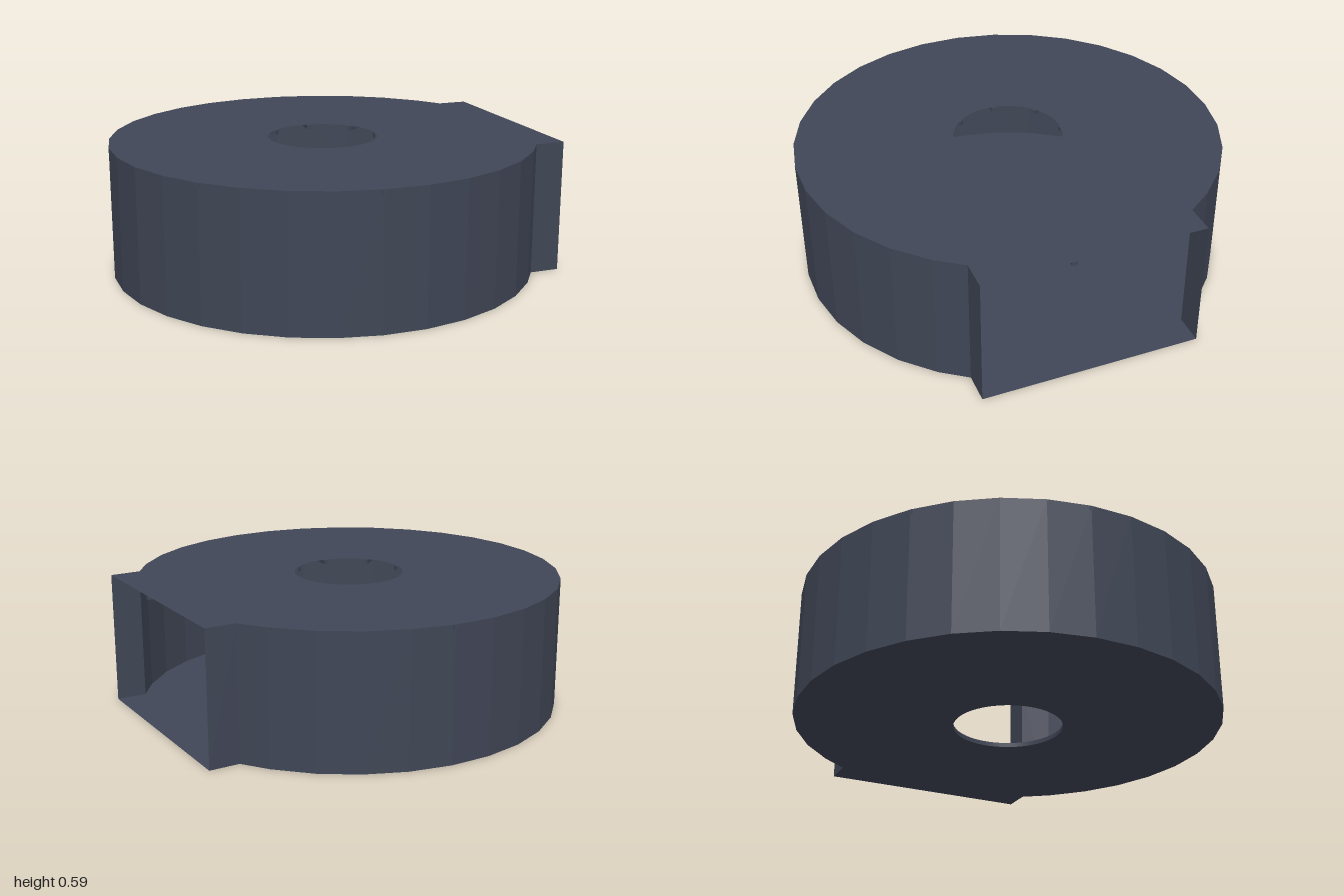
import * as THREE from 'three';

const R = 0.95, HOLE = 0.245, HEIGHT = 0.59;      // drum radius, eye radius, height
const MOUTH = THREE.MathUtils.degToRad(50.7);     // outlet heading, from +x towards -z
const HALF = 0.488;                               // half the outlet width
const SIDES = 32;

// Plan outline, from one mouth corner round the drum to the other (plan y = -z)
function outline() {
  const n = new THREE.Vector2(Math.cos(MOUTH), Math.sin(MOUTH));
  const t = new THREE.Vector2(-n.y, n.x);
  const at = (d, s) => n.clone().multiplyScalar(d).addScaledVector(t, s);
  const inner = Math.sqrt(R * R - HALF * HALF);
  const pts = [at(R, HALF), at(inner, HALF)];
  for (let i = 8; i <= 33; i++) {
    const a = (i / SIDES) * Math.PI * 2;
    pts.push(new THREE.Vector2(R * Math.cos(a), R * Math.sin(a)));
  }
  pts.push(at(inner, -HALF), at(R, -HALF));
  return pts;
}

// Upright wall following the outline, left open across the mouth
function wallGeometry(pts) {
  const pos = [];
  for (let i = 0; i < pts.length - 1; i++) {
    const a = pts[i], b = pts[i + 1];
    const a0 = [a.x, 0, -a.y], b0 = [b.x, 0, -b.y];
    const a1 = [a.x, HEIGHT, -a.y], b1 = [b.x, HEIGHT, -b.y];
    pos.push(...a0, ...b0, ...b1, ...a0, ...b1, ...a1);
  }
  const g = new THREE.BufferGeometry();
  g.setAttribute('position', new THREE.Float32BufferAttribute(pos, 3));
  g.computeVertexNormals();
  return g;
}

export function createModel() {
  const slate = new THREE.MeshStandardMaterial({ color: 0x404656, side: THREE.DoubleSide });
  slate.name = 'slate';
  const model = new THREE.Group();
  model.name = 'blowerHousing';
  const body = new THREE.Group();
  body.name = 'housing';
  body.position.set(-0.017, 0, 0.045);
  model.add(body);

  const add = (geometry, name, parent = body) => {
    const mesh = new THREE.Mesh(geometry, slate);
    mesh.name = name;
    parent.add(mesh);
    return mesh;
  };

  // Lid and floor plates with a round eye
  const pts = outline();
  const shape = new THREE.Shape(pts);
  const eye = new THREE.Path();
  eye.absarc(0, 0, HOLE, 0, Math.PI * 2, true);
  shape.holes.push(eye);
  const plate = new THREE.ShapeGeometry(shape, 24).rotateX(-Math.PI / 2);
  add(plate, 'lid').position.y = HEIGHT;

  // The floor faces downwards
  const floorGeometry = plate.clone();
  const index = floorGeometry.index;
  for (let i = 0; i < index.count; i += 3) {
    const a = index.getX(i);
    index.setX(i, index.getX(i + 1));
    index.setX(i + 1, a);
  }
  floorGeometry.computeVertexNormals();
  add(floorGeometry, 'floor');

  add(wallGeometry(pts), 'wall');

  // Low lip round the floor eye
  add(new THREE.CylinderGeometry(HOLE, HOLE, 0.02, 48, 1, true), 'floorLip').position.y = 0.01;

  // Eight radial stiffening ribs under the lid
  const ribs = new THREE.Group();
  ribs.name = 'ribs';
  body.add(ribs);
  const length = R - 0.24;
  for (let i = 0; i < 8; i++) {
    const a = (i / 8) * Math.PI * 2, r = 0.24 + length / 2;
    const rib = add(new THREE.BoxGeometry(length, 0.02, 0.023), 'rib', ribs);
    rib.position.set(r * Math.cos(a), HEIGHT - 0.0115, -r * Math.sin(a));
    rib.rotation.y = a;
  }

  // Short cross bar behind the mouth
  const bar = add(new THREE.BoxGeometry(0.02, 0.02, 0.116), 'crossBar');
  bar.position.set(0.58 * Math.cos(MOUTH), HEIGHT - 0.0115, -0.58 * Math.sin(MOUTH));
  bar.rotation.y = MOUTH;

  return model;
}
